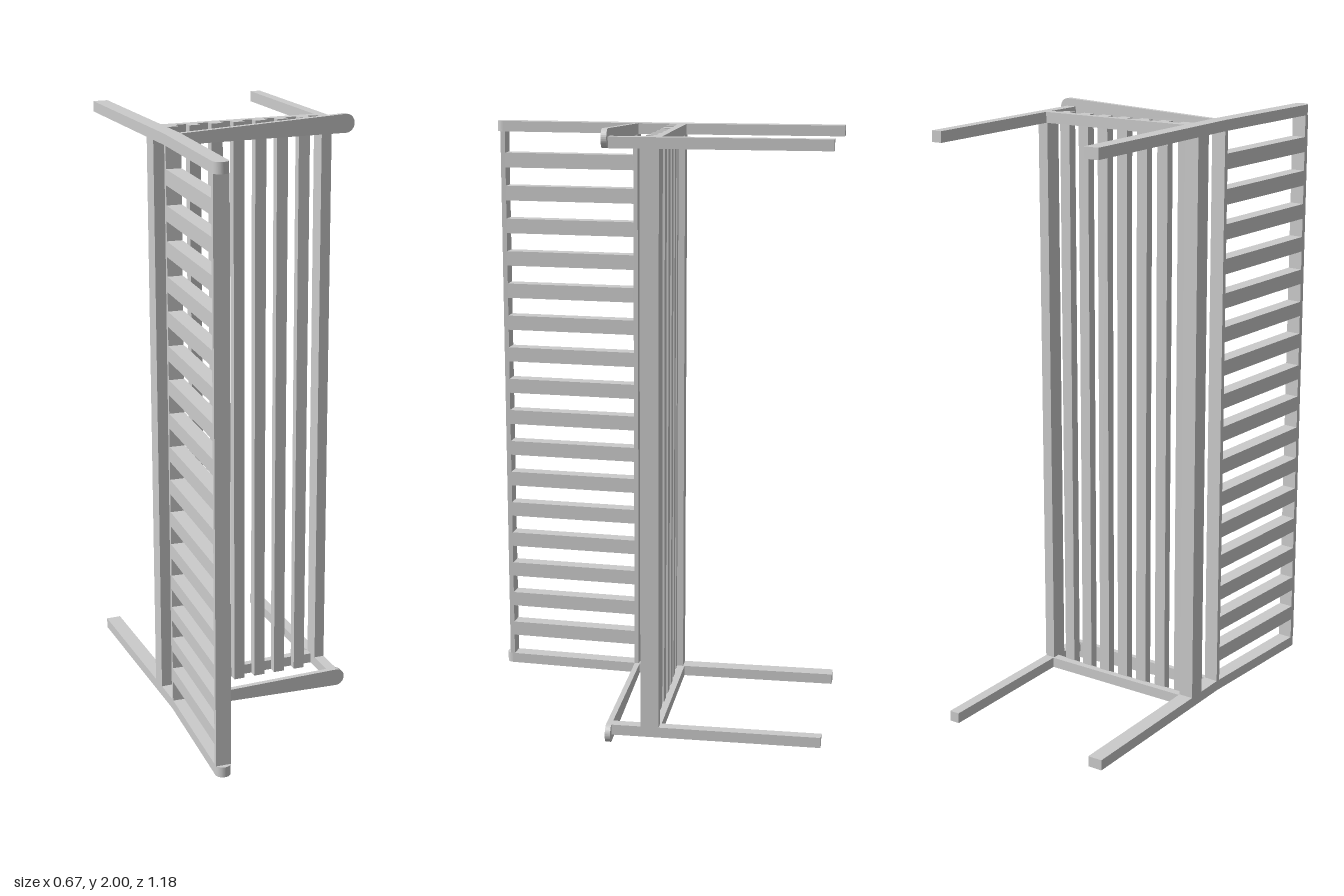
import * as THREE from 'three';

// A slatted garden bench resting on its end: length along y, seat facing +z, backrest at -x.
const END = 0.025, POST = 0.035, LENGTH = 2 - 2 * END;
const INNER = LENGTH - 2 * POST;

export function createModel() {
  const bench = new THREE.Group();
  const material = new THREE.MeshStandardMaterial({ color: 0xcccccc });

  const add = (name, geometry, x = 0, y = 0, z = 0) => {
    const mesh = new THREE.Mesh(geometry, material);
    mesh.name = name;
    mesh.position.set(x, y, z);
    bench.add(mesh);
    return mesh;
  };
  // box given by its x and z limits, centred along the bench
  const bar = (name, x0, x1, z0, z1, length, y = 1) =>
    add(name, new THREE.BoxGeometry(x1 - x0, length, z1 - z0), (x0 + x1) / 2, y, (z0 + z1) / 2);
  // outline drawn in x and z, extruded along y
  const profile = (name, shape, depth, top) => {
    const geometry = new THREE.ExtrudeGeometry(shape, { depth, bevelEnabled: false, curveSegments: 16 });
    add(name, geometry.rotateX(Math.PI / 2), 0, top, 0);
  };

  // back leg and backrest post: straight below, leaning above, rounded tip
  const lean = Math.atan2(0.03, 0.465);
  const post = new THREE.Shape();
  post.moveTo(-0.305, -0.59);
  post.lineTo(-0.255, -0.59);
  post.lineTo(-0.255, 0.1);
  post.absarc(-0.31, 0.567, 0.025, lean, Math.PI + lean, false);
  post.lineTo(-0.305, 0.1);
  post.closePath();

  // dished seat curve and the end rail that follows it
  const seat = x => -0.042 + 0.11 * x * x;
  const endRail = new THREE.Shape();
  endRail.moveTo(-0.256, -0.065);
  endRail.lineTo(0.271, -0.065);
  for (let i = 0; i <= 16; i++) {
    const x = 0.271 - (0.527 * i) / 16;
    endRail.lineTo(x, seat(x));
  }
  endRail.closePath();

  // both ends: legs, end rail and armrest
  for (const upper of [false, true]) {
    const side = upper ? 'upper' : 'lower';
    const top = upper ? 2 - END : END + POST;
    profile(side + 'BackPost', post, POST, top);
    profile(side + 'SeatEndRail', endRail, POST, top);
    bar(side + 'FrontLeg', 0.27, 0.305, -0.59, 0.098, POST, top - POST / 2);

    // armrest widening outward to a rounded front
    const m = y => (upper ? 2 - y : y);
    const arm = new THREE.Shape();
    arm.moveTo(-0.257, m(END));
    for (let i = 0; i <= 16; i++) {
      const a = -Math.PI / 2 + (Math.PI * i) / 16;
      arm.lineTo(0.301 + 0.029 * Math.cos(a), m(0.03 + 0.03 * Math.sin(a)));
    }
    arm.lineTo(-0.257, m(END + POST));
    arm.closePath();
    add(side + 'Armrest', new THREE.ExtrudeGeometry(arm, { depth: 0.018, bevelEnabled: false }), 0, 0, 0.097);
  }

  // long seat rails
  bar('frontSeatRail', 0.27, 0.305, -0.06, 0, INNER);
  bar('backSeatRail', -0.305, -0.255, -0.06, 0, INNER);

  // seat slats, each tilted to the curve
  for (let i = 0; i < 7; i++) {
    const x = -0.237 + i * 0.0752;
    const slat = add('seatSlat', new THREE.BoxGeometry(0.038, LENGTH, 0.03), x, 1, seat(x) + 0.012);
    slat.rotation.y = -Math.atan(0.22 * x);
  }

  // backrest: leaning rails and cross slats
  const leaning = (name, z0, z1, height, y) => {
    const z = (z0 + z1) / 2;
    const x = -0.28 - Math.tan(lean) * (z - 0.1);
    add(name, new THREE.BoxGeometry(0.05, height, z1 - z0), x, y, z).rotation.y = -lean;
  };
  leaning('backrestTopRail', 0.561, 0.577, INNER, 1);
  leaning('backrestLowerRail', 0.099, 0.114, INNER, 1);
  for (let i = 0; i < 16; i++) leaning('backrestSlat', 0.11, 0.565, 0.05, 0.156 + i * 0.1125);

  return bench;
}
